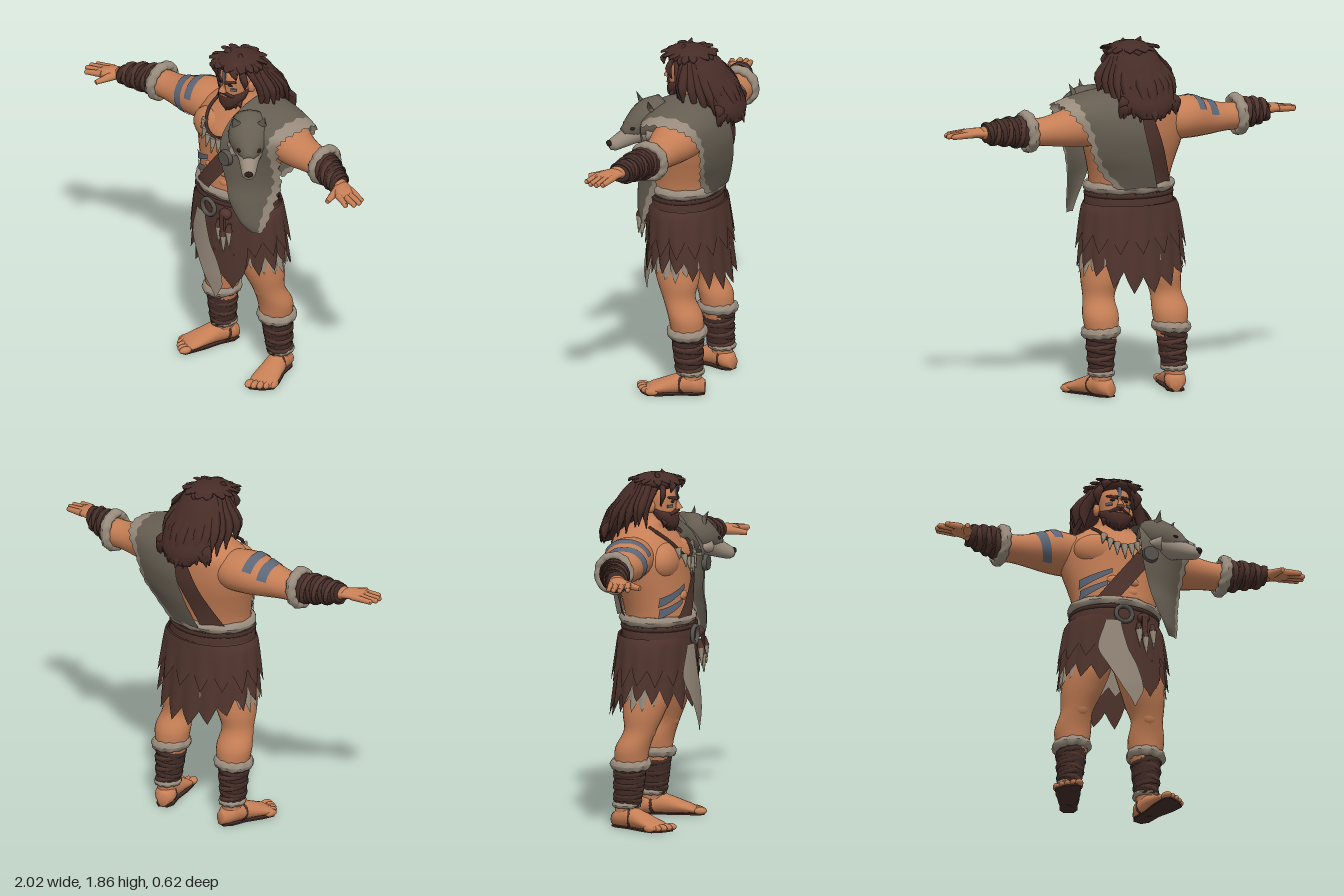
import * as THREE from 'three';

const mat = (name, color) => new THREE.MeshStandardMaterial({ name, color, side: THREE.DoubleSide });
const TAU = Math.PI * 2, { sin, cos, abs, max, min, sqrt } = Math;
const tri = t => 1 - 4 * abs(t - Math.floor(t) - 0.5); // triangle wave, -1..1
const PLANE = [[1, 2], [0, 2], [0, 1]];

// Smoothly interpolated section [x, y, z, a, b] at coordinate v on axis k
const mix = (a, b, c, d, t) => 0.5 * (2 * b + (c - a) * t + (2 * a - 5 * b + 4 * c - d) * t * t + (3 * b - a - 3 * c + d) * t * t * t);
function at(rows, k, v) {
  let i = 0;
  while (i < rows.length - 2 && v > rows[i + 1][k]) i++;
  const t = min(1, max(0, (v - rows[i][k]) / (rows[i + 1][k] - rows[i][k])));
  const r = j => rows[min(max(j, 0), rows.length - 1)];
  const o = r(i).map((_, c) => mix(r(i - 1)[c], r(i)[c], r(i + 1)[c], r(i + 2)[c], t));
  o[k] = v;
  return o;
}
// Point on the elliptical section at angle th, pushed outward by off
function ring(rows, k, v, th, off = 0) {
  const s = at(rows, k, v), p = s.slice(0, 3), [u, w] = PLANE[k];
  p[u] += cos(th) * (max(s[3], 0.002) + off);
  p[w] += sin(th) * (max(s[4], 0.002) + off);
  return p;
}
function build(pos, idx) {
  const g = new THREE.BufferGeometry();
  g.setAttribute('position', new THREE.Float32BufferAttribute(pos.flat(), 3));
  g.setIndex(idx);
  g.computeVertexNormals();
  return g;
}
// Closed body through elliptical sections stacked along axis k
function loft(input, k, n = 20, steps = 4) {
  const rows = [...input].sort((a, b) => a[k] - b[k]), pos = [], idx = [];
  const face = (a, b, c) => (k === 1 ? idx.push(a, c, b) : idx.push(a, b, c));
  const m = (rows.length - 1) * steps;
  for (let j = 0; j <= m; j++) {
    const s = min(Math.floor(j / steps), rows.length - 2), t = j / steps - s;
    const v = rows[s][k] + (rows[s + 1][k] - rows[s][k]) * t;
    for (let i = 0; i < n; i++) pos.push(ring(rows, k, v, (i / n) * TAU));
  }
  pos.push(rows[0].slice(0, 3), rows[rows.length - 1].slice(0, 3));
  for (let i = 0; i < n; i++) {
    const q = (i + 1) % n;
    for (let j = 0; j < m; j++) {
      face(j * n + i, j * n + q, j * n + n + q);
      face(j * n + i, j * n + n + q, j * n + n + i);
    }
    face((m + 1) * n, q, i);
    face((m + 1) * n + 1, m * n + i, m * n + q);
  }
  return build(pos, idx);
}
// Open surface from a function of u, v
function sheet(fn, nu, nv) {
  const pos = [], idx = [];
  for (let j = 0; j <= nv; j++) for (let i = 0; i <= nu; i++) pos.push(fn(i / nu, j / nv));
  for (let j = 0; j < nv; j++) for (let i = 0; i < nu; i++) {
    const a = j * (nu + 1) + i, b = a + nu + 1;
    idx.push(a, a + 1, b + 1, a, b + 1, b);
  }
  return build(pos, idx);
}
// Elliptical band around axis k, optionally lumpy or tilted
const band = (k, c, a, b, r, h, lump = 0, tilt = 0) => sheet((u, v) => {
  const th = u * TAU, ph = -v * TAU, p = [...c], [i, j] = PLANE[k];
  const d = r * cos(ph) * (1 + lump * sin(th * 9 + 2 * ph)) + r * lump * 0.5 * sin(th * 5);
  p[i] += cos(th) * (a + d);
  p[j] += sin(th) * (b + d);
  p[k] += sin(ph) * h * (1 + lump * sin(th * 11)) + tilt * cos(th);
  return p;
}, 44, 10);
const ball = (x, y, z, a, b, c) => new THREE.SphereGeometry(1, 20, 14).scale(a, b, c).translate(x, y, z);
// Tapered rod from p to q
function rod(p, q, r0, r1, n = 8) {
  const a = new THREE.Vector3(...p), d = new THREE.Vector3(...q).sub(a), l = d.length();
  const g = new THREE.CylinderGeometry(r1, r0, l, n).translate(0, l / 2, 0);
  g.applyQuaternion(new THREE.Quaternion().setFromUnitVectors(new THREE.Vector3(0, 1, 0), d.normalize()));
  return g.translate(...p);
}
const lock = (p, q, w, bx = 0, bz = 0) => loft([[...p, w * 0.7, w * 0.5],
  [(p[0] + q[0]) / 2 + bx, (p[1] + q[1]) / 2, (p[2] + q[2]) / 2 + bz, w, w * 0.6], [...q, 0.003, 0.003]], 1, 7, 3);

export function createModel() {
  const g = new THREE.Group();
  let seed = 7;
  const rnd = () => (seed = (seed * 16807) % 2147483647) / 2147483647;
  const skin = mat('skin', 0xc67f56), hair = mat('hair', 0x472c27), leather = mat('leather', 0x50342d),
    wrap = mat('dark wrap', 0x422c27), grey = mat('grey fur', 0x665e52), pale = mat('pale fur', 0x988b7c),
    blue = mat('blue paint', 0x5d6675), bone = mat('bone', 0xa09480), metal = mat('dull metal', 0x57534d), dark = mat('dark detail', 0x2a1d19);
  const add = (name, geo, m, parent = g) => {
    const o = new THREE.Mesh(geo, m);
    o.name = name;
    parent.add(o);
  };

  // Torso
  const torso = [[0, 0.9, 0, 0.2, 0.16], [0, 1.02, 0.01, 0.222, 0.172], [0, 1.1, 0.015, 0.218, 0.17], [0, 1.2, 0, 0.238, 0.175], [0, 1.32, -0.02, 0.272, 0.188],
    [0, 1.42, -0.03, 0.285, 0.19], [0, 1.5, -0.055, 0.245, 0.16], [0, 1.56, -0.05, 0.15, 0.115], [0, 1.6, -0.01, 0.09, 0.09], [0, 1.65, 0.0, 0.07, 0.075]];
  add('torso', loft(torso, 1, 36), skin);
  const onTorso = (x, y, off, s = 1) => {
    const t = at(torso, 1, y);
    return [x, y, t[2] + s * (t[4] + off) * sqrt(max(0, 1 - (x / (t[3] + off)) ** 2))];
  };
  for (const s of [1, -1]) {
    add('pectoral', ball(s * 0.11, 1.395, 0.08, 0.13, 0.098, 0.08), skin);
    for (const y of [1.15, 1.21]) add('abdominal', ball(s * 0.045, y, 0.145, 0.048, 0.034, 0.036), skin);
  }

  // Limbs, hands and feet
  for (const s of [1, -1]) {
    const M = rows => rows.map(([x, ...r]) => [x * s, ...r]).sort((p, q) => p[0] - q[0]);
    const arm = M([[0.14, 1.42, -0.06, 0.1, 0.11], [0.24, 1.425, -0.06, 0.11, 0.128], [0.33, 1.425, -0.05, 0.11, 0.125], [0.43, 1.41, -0.035, 0.09, 0.1],
      [0.52, 1.404, -0.03, 0.074, 0.085], [0.62, 1.402, -0.02, 0.07, 0.076], [0.75, 1.405, 0.035, 0.05, 0.055], [0.83, 1.405, 0.07, 0.03, 0.042]]);
    add('arm', loft(arm, 0, 24), skin);
    add('armCuff', band(0, [s * 0.605, 1.41, -0.025], 0.09, 0.085, 0.022, 0.03, 0.12, 0.008), pale);
    const bracer = M([[0.61, 1.408, -0.02, 0.084, 0.08], [0.7, 1.41, 0.015, 0.074, 0.072], [0.76, 1.405, 0.037, 0.063, 0.063], [0.81, 1.403, 0.058, 0.049, 0.053]]);
    add('bracer', loft(bracer, 0, 20), wrap);
    for (let i = 0; i < 6; i++) {
      const c = at(bracer, 0, s * (0.652 + i * 0.028));
      add('bracerStrap', band(0, c.slice(0, 3), c[3], c[4], 0.006, 0.015, 0.1, (i % 2 ? 1 : -1) * 0.012), i % 2 ? wrap : leather);
    }
    add('palm', loft(M([[0.79, 1.405, 0.055, 0.028, 0.04], [0.85, 1.405, 0.085, 0.026, 0.055], [0.89, 1.403, 0.1, 0.022, 0.06], [0.92, 1.4, 0.11, 0.015, 0.052]]), 0, 16), skin);
    [[0.055, 0.075, 0.985], [0.084, 0.105, 1], [0.114, 0.138, 0.997], [0.143, 0.172, 0.968]].forEach(([z0, z1, x]) => {
      add('finger', rod([s * 0.88, 1.403, z0], [s * x, 1.393, z1], 0.019, 0.0135), skin);
      add('fingertip', ball(s * (x - 0.006), 1.393, z1, 0.0135, 0.0135, 0.0135), skin);
    });
    add('thumb', rod([s * 0.83, 1.4, 0.1], [s * 0.862, 1.385, 0.205], 0.026, 0.013), skin);

    const leg = M([[0.1, 0.95, 0, 0.11, 0.14], [0.12, 0.83, 0.005, 0.12, 0.142], [0.152, 0.7, 0.008, 0.116, 0.128], [0.176, 0.6, -0.008, 0.102, 0.11], [0.193, 0.51, -0.022, 0.083, 0.085],
      [0.2, 0.42, -0.06, 0.096, 0.09], [0.2, 0.34, -0.07, 0.085, 0.085], [0.205, 0.22, -0.075, 0.063, 0.072], [0.21, 0.12, -0.09, 0.052, 0.06], [0.212, 0.05, -0.095, 0.05, 0.055]])
      .sort((p, q) => p[1] - q[1]);
    add('leg', loft(leg, 1, 24), skin);
    add('kneecap', ball(s * 0.19, 0.525, 0.028, 0.052, 0.06, 0.036), skin);
    add('shinCuff', band(1, [s * 0.203, 0.335, -0.07], 0.083, 0.088, 0.02, 0.027, 0.12, s * -0.006), pale);
    add('shinWrap', loft(M([[0.203, 0.34, -0.07, 0.08, 0.084], [0.205, 0.24, -0.075, 0.073, 0.08], [0.21, 0.11, -0.085, 0.06, 0.07]]), 1, 20), wrap);
    for (let i = 0; i < 6; i++)
      add('shinStrap', band(1, [s * (0.21 - i * 0.001), 0.145 + i * 0.03, -0.084 + i * 0.002], 0.06 + i * 0.003, 0.07 + i * 0.002, 0.007, 0.014, 0.1, (i % 2 ? 1 : -1) * 0.013), i % 2 ? wrap : leather);
    add('ankleCuff', band(1, [s * 0.21, 0.12, -0.09], 0.057, 0.063, 0.013, 0.015, 0.15), pale);

    const foot = new THREE.Group();
    foot.name = 'foot';
    foot.position.set(s * 0.21, 0, -0.1);
    foot.rotation.y = s * 0.33;
    g.add(foot);
    add('footBody', loft([[0, 0.038, -0.07, 0.03, 0.034], [0, 0.053, -0.03, 0.055, 0.05], [0, 0.059, 0.04, 0.055, 0.056], [0, 0.044, 0.13, 0.066, 0.041], [0, 0.028, 0.21, 0.074, 0.025], [0, 0.02, 0.24, 0.062, 0.016]], 2), skin, foot);
    for (let i = 0; i < 5; i++)
      add('toe', ball(s * (-0.058 + i * 0.03), 0.021, 0.257 - i * i * 0.0032, i ? 0.017 : 0.022, 0.019, 0.034), skin, foot);
    // Sandal sole and cord
    const outline = new THREE.Shape([[-0.025, -0.068], [-0.047, -0.03], [-0.046, 0.05], [-0.063, 0.15], [-0.069, 0.26], [-0.045, 0.28], [0.02, 0.262], [0.067, 0.225], [0.066, 0.16], [0.046, 0.06], [0.047, -0.03], [0.025, -0.068]]
      .map(([x, z]) => new THREE.Vector2(s * x, -z)));
    add('sole', new THREE.ExtrudeGeometry(outline, { depth: 0.008, bevelEnabled: false }).rotateX(-Math.PI / 2), wrap, foot);
    add('footCord', band(2, [0, 0.056, 0.03], 0.054, 0.055, 0.004, 0.008, 0, s * 0.035), wrap, foot);

    // Body paint on the right arm
    if (s < 0) for (const [x, t0, t1, w] of [[-0.43, -1.3, 2.6, 0.05], [-0.35, -1.1, 1.3, 0.047]])
      add('armPaint', sheet((u, v) => {
        const th = t0 + (t1 - t0) * u;
        return ring(arm, 0, x + (v - 0.5) * w + 0.025 * max(0, th), th, 0.004);
      }, 24, 4), blue);
  }
  // Body paint on the ribs
  for (const [x0, y0, x1, y1] of [[-0.215, 1.19, -0.06, 1.26], [-0.21, 1.13, -0.085, 1.187]])
    add('ribPaint', sheet((u, v) => onTorso(x0 + (x1 - x0) * u, y0 + (y1 - y0) * u + (v - 0.5) * 0.05 * (1 - u * 0.5), 0.009), 14, 3), blue);

  // Shoulder strap, front and back
  for (const [s, x0, y0, x1, y1, w] of [[1, 0.16, 1.42, -0.1, 1.08, 0.075], [-1, 0.06, 1.52, -0.125, 1.08, 0.1]])
    add('shoulderStrap', sheet((u, v) => onTorso(x0 + (x1 - x0) * u + (v - 0.5) * w, y0 + (y1 - y0) * u - (v - 0.5) * 0.05, 0.018, s), 16, 4), leather);

  // Head and face
  add('head', loft([[0, 1.58, 0.04, 0.05, 0.05], [0, 1.62, 0.03, 0.07, 0.08], [0, 1.68, 0.025, 0.08, 0.087], [0, 1.74, 0.02, 0.082, 0.09], [0, 1.8, 0.01, 0.06, 0.07]], 1, 24), skin);
  add('nose', new THREE.ConeGeometry(0.023, 0.062, 6).scale(1, 1, 0.9).rotateX(-0.25).translate(0, 1.685, 0.119), skin);
  add('beard', loft([[0, 1.54, 0.08, 0.02, 0.02], [0, 1.57, 0.07, 0.056, 0.05], [0, 1.61, 0.055, 0.08, 0.066], [0, 1.64, 0.04, 0.086, 0.066], [0, 1.66, 0.005, 0.085, 0.06]], 1), hair);
  for (let i = -3; i <= 3; i++) add('beardTuft', lock([i * 0.022, 1.61, 0.095 - abs(i) * 0.012], [i * 0.024, 1.535 + abs(i) * 0.01, 0.1 - abs(i) * 0.012], 0.02, 0, 0.012), hair);
  add('mouth', new THREE.BoxGeometry(0.045, 0.007, 0.008).translate(0, 1.628, 0.119), skin);
  add('foreheadPaint', new THREE.BoxGeometry(0.018, 0.055, 0.008).translate(0, 1.743, 0.111), blue);
  for (const s of [1, -1]) {
    add('ear', ball(s * 0.09, 1.675, 0, 0.018, 0.034, 0.024), skin);
    add('moustache', rod([0, 1.65, 0.117], [s * 0.052, 1.63, 0.095], 0.013, 0.008), hair);
    add('eyebrow', rod([s * 0.01, 1.709, 0.115], [s * 0.065, 1.722, 0.09], 0.01, 0.006), hair);
    add('eye', ball(s * 0.034, 1.697, 0.102, 0.015, 0.007, 0.009), dark);
    add('cheekPaint', new THREE.BoxGeometry(0.034, 0.014, 0.008).rotateY(s * 0.6).translate(s * 0.053, 1.674, 0.095), blue);
  }

  // Hair: crown, mane and loose locks
  add('hairCrown', ball(0, 1.795, 0.004, 0.112, 0.047, 0.122), hair);
  add('mane', loft([[0, 1.815, -0.02, 0.09, 0.09], [0, 1.75, -0.06, 0.132, 0.11], [0, 1.68, -0.115, 0.15, 0.105], [0, 1.6, -0.175, 0.16, 0.095], [0, 1.53, -0.23, 0.135, 0.068], [0, 1.47, -0.268, 0.07, 0.028]], 1), hair);
  for (let i = 0; i <= 16; i++) {
    const th = 0.15 - (Math.PI + 0.3) * (i / 16), f = max(0, -sin(th)), j = rnd(), c = cos(th);
    add('longLock', lock([c * 0.1, 1.79, sin(th) * 0.08 - 0.02], [c * (0.17 + 0.04 * j), 1.55 - 0.1 * f + 0.05 * j, -0.03 - 0.27 * f], 0.042, c * 0.03, -0.035 * f), hair);
    add('maneTip', lock([c * 0.12, 1.6, -0.2], [c * 0.17, 1.42 + 0.05 * j + 0.05 * abs(c), -0.305 + 0.08 * abs(c)], 0.036, 0, -0.02), hair);
    const a = i * 2.4, r = 0.13 + 0.025 * j;
    add('crownTuft', lock([cos(a) * 0.04, 1.825, sin(a) * 0.04], [cos(a) * r, 1.77 + 0.035 * j, sin(a) * r + 0.005], 0.034, cos(a) * 0.025, sin(a) * 0.025), hair);
  }
  for (const s of [1, -1]) {
    add('fringeLock', lock([s * 0.03, 1.825, 0.07], [s * 0.085, 1.75, 0.11], 0.03, s * 0.015, 0.025), hair);
    add('templeLock', lock([s * 0.075, 1.8, 0.06], [s * 0.1, 1.68, 0.06], 0.026, s * 0.022, 0.015), hair);
    add('sideLock', lock([s * 0.1, 1.78, 0.03], [s * 0.155, 1.57, 0], 0.034, s * 0.025, -0.02), hair);
    add('topTuft', lock([s * 0.03, 1.8, 0.04], [s * 0.05 - 0.02, 1.853, 0.02], 0.03), hair);
  }

  // Tooth necklace
  const cord = new THREE.CatmullRomCurve3([[-0.12, 1.57, 0.0], [-0.115, 1.5, 0.115], [-0.07, 1.43, 0.17], [0, 1.405, 0.182], [0.07, 1.43, 0.17], [0.115, 1.5, 0.115], [0.12, 1.57, 0]].map(p => new THREE.Vector3(...p)));
  add('necklaceCord', new THREE.TubeGeometry(cord, 32, 0.009, 6), wrap);
  for (let i = -3; i <= 3; i++) {
    const p = cord.getPoint(0.5 + i * 0.085), l = 0.085 - abs(i) * 0.01;
    add('necklaceTooth', rod([p.x, p.y, p.z + 0.008], [p.x * 1.15, p.y - l, p.z + 0.024], 0.019, 0.003, 7), bone);
  }

  // Belt, buckle and hanging teeth
  add('waistFur', band(1, [0, 1.085, 0.012], 0.226, 0.175, 0.022, 0.026, 0.12), pale);
  add('belt', loft([[0, 0.955, 0.015, 0.237, 0.182], [0, 0.975, 0.018, 0.242, 0.192], [0, 1.045, 0.018, 0.237, 0.19], [0, 1.065, 0.015, 0.228, 0.18]], 1, 32, 2), leather);
  add('beltEdge', band(1, [0, 1.045, 0.018], 0.234, 0.188, 0.008, 0.012), wrap);
  add('buckle', new THREE.TorusGeometry(0.044, 0.012, 8, 24).translate(-0.01, 1.0, 0.217), metal);
  add('beltKnot', ball(0.1, 0.995, 0.2, 0.035, 0.03, 0.03), leather);
  add('beltTail', new THREE.BoxGeometry(0.03, 0.13, 0.012).translate(0.1, 0.93, 0.222), leather);
  for (const [x, y] of [[0.07, 0.83], [0.105, 0.79], [0.145, 0.83]]) {
    add('beltTooth', rod([x, y + 0.09, 0.222], [x + 0.005, y - 0.01, 0.225], 0.019, 0.003), bone);
    add('beltToothCap', rod([x, y + 0.13, 0.215], [x, y + 0.085, 0.222], 0.01, 0.021), leather);
  }

  // Ragged hide skirt in layers
  const onSkirt = (th, y, off) => {
    const t = max(0, 1 - y) / 0.4;
    return [cos(th) * (0.23 + 0.058 * sqrt(t) + off), y, 0.008 - 0.018 * t + sin(th) * (0.18 + 0.025 * min(1, t) + off)];
  };
  const skirt = (name, m, off, teeth, amp, hem) => {
    const jag = Array.from({ length: teeth }, () => rnd());
    add(name, sheet((u, v) => {
      const th = u * TAU, i = Math.floor(u * teeth) % teeth;
      const end = hem(sin(th), cos(th)) - amp * tri(u * teeth) * (0.6 + 0.6 * jag[i]);
      return onSkirt(th, 1 + (end - 1) * v, off + 0.008 * v * tri(u * teeth));
    }, teeth * 6, 8), m);
  };
  skirt('skirtLining', pale, -0.004, 22, 0.03, (s, c) => 0.74 - 0.09 * c ** 4);
  skirt('skirtLong', leather, 0.008, 17, 0.045, s => (s > 0 ? 0.71 - 0.06 * s * s : 0.71 - 0.13 * s * s));
  skirt('skirtShort', leather, 0.02, 15, 0.05, () => 0.8);
  const flap = (name, m, off, rows) => add(name, sheet((u, v) => {
    const [x0, y, , x1] = at(rows, 1, rows[0][1] + (rows[rows.length - 1][1] - rows[0][1]) * v), x = x0 + (x1 - x0) * u;
    return onSkirt(Math.acos(x / 0.29), y, off);
  }, 6, 20), m);
  flap('frontHide', leather, 0.02, [[0.13, 0.56, 0, 0.135], [0.04, 0.66, 0, 0.19], [-0.04, 0.82, 0, 0.21], [-0.06, 0.97, 0, 0.2]]);
  flap('frontFur', pale, 0.034, [[0.04, 0.48, 0, 0.046], [-0.02, 0.58, 0, 0.085], [-0.09, 0.7, 0, 0.06], [-0.14, 0.8, 0, 0.01], [-0.11, 0.96, 0, -0.03]]);

  // Pelt draped over the left shoulder: [y, z, inner x, outer x, outer drop y, outer drop z]
  const drape = [[0.935, 0.165, 0.25, 0.3, 0, -0.03], [0.99, 0.2, 0.21, 0.315, 0, -0.09], [1.1, 0.22, 0.15, 0.33, 0, -0.15], [1.2, 0.215, 0.12, 0.345, 0, -0.17], [1.32, 0.225, 0.09, 0.36, 0, -0.16],
    [1.44, 0.215, 0.08, 0.38, 0, -0.11], [1.54, 0.15, 0.09, 0.41, -0.03, -0.05], [1.6, 0.03, 0.1, 0.43, -0.06, -0.01], [1.595, -0.12, 0.08, 0.43, -0.06, 0.02], [1.52, -0.22, 0.05, 0.4, -0.03, 0.05],
    [1.4, -0.255, 0.035, 0.34, 0, 0.06], [1.28, -0.245, 0.0, 0.3, 0, 0.06], [1.18, -0.22, -0.035, 0.24, 0, 0.06], [1.09, -0.19, -0.065, 0.15, 0, 0.03]].map((r, i) => [i, ...r]);
  const pelt = (u, v) => {
    const [, y, z, x0, x1, dy, dz] = at(drape, 0, v * (drape.length - 1));
    return [x0 + (x1 - x0) * u, y + dy * u * u, z + dz * u * u];
  };
  const edge = v => 0.85 - 0.065 * cos(v * TAU / 0.55) + 0.025 * tri(v * 22);
  add('pelt', sheet((u, v) => pelt(u * edge(v), v), 14, 110), grey);
  add('peltFringe', sheet((u, v) => pelt(edge(v) * (1 - u) + u * (1.01 + 0.03 * tri(v * 26)), v), 4, 110), pale);
  add('brooch', new THREE.CylinderGeometry(0.04, 0.045, 0.025, 16).rotateX(Math.PI / 2).translate(0.13, 1.355, 0.232), metal);

  // Wolf head on the pelt
  const wolf = new THREE.Group();
  wolf.name = 'wolfHead';
  wolf.position.set(0.225, 1.475, 0.15);
  wolf.lookAt(0.385, 1.385, 0.31);
  g.add(wolf);
  add('wolfSkull', loft([[0, 0.02, -0.12, 0.085, 0.075], [0, 0.01, -0.04, 0.11, 0.1], [0, 0.005, 0.03, 0.1, 0.088], [0, 0.006, 0.09, 0.062, 0.058], [0, 0.0, 0.14, 0.03, 0.034]], 2), grey, wolf);
  add('wolfMuzzle', loft([[0, -0.03, 0.03, 0.088, 0.068], [0, -0.027, 0.1, 0.058, 0.052], [0, -0.027, 0.16, 0.045, 0.043], [0, -0.028, 0.215, 0.035, 0.033], [0, -0.028, 0.235, 0.018, 0.018]], 2), pale, wolf);
  add('wolfNose', ball(0, -0.01, 0.228, 0.022, 0.017, 0.015), dark, wolf);
  for (const s of [1, -1]) {
    add('wolfEar', new THREE.ConeGeometry(0.036, 0.08, 8).scale(1, 1, 0.5).rotateZ(-s * 0.3).translate(s * 0.07, 0.105, -0.03), grey, wolf);
    add('wolfEye', ball(s * 0.051, 0.026, 0.094, 0.012, 0.008, 0.014), dark, wolf);
    add('wolfCheek', rod([s * 0.07, -0.03, 0.04], [s * 0.115, -0.06, -0.03], 0.04, 0.004), pale, wolf);
  }
  return g;
}
